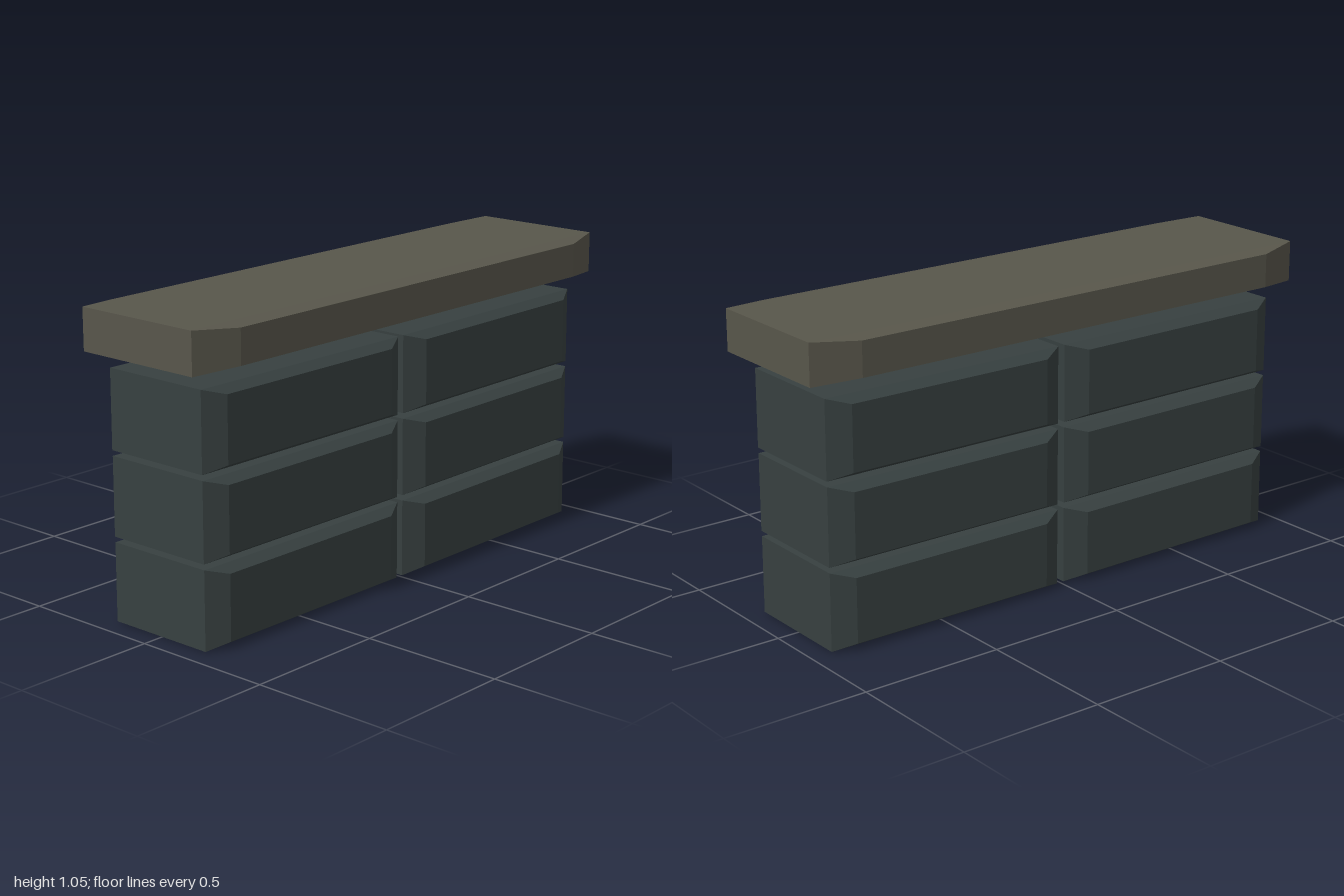
import * as THREE from 'three';

// Box whose front and back faces shrink to leave a bevel of depth b, bx wide, by high
function bevelBlock(w, h, d, bx, by, b) {
  const box = new THREE.BoxGeometry(w, h, d, 1, 1, 3);
  const p = box.attributes.position;
  for (let i = 0; i < p.count; i++) {
    const x = p.getX(i), y = p.getY(i), z = p.getZ(i), s = Math.sign(z);
    if (Math.abs(z) > d * 0.4) p.setXYZ(i, x - Math.sign(x) * bx, y - Math.sign(y) * by, z);
    else p.setZ(i, s * (d / 2 - b));
  }
  const geo = box.toNonIndexed();
  geo.computeVertexNormals();
  return geo;
}

export function createModel() {
  const group = new THREE.Group();
  const slabMaterial = new THREE.MeshStandardMaterial({ color: 0x58564b });
  slabMaterial.name = 'warm grey stone';
  const blockMaterial = new THREE.MeshStandardMaterial({ color: 0x374040 });
  blockMaterial.name = 'dark slate';

  // Floating top slab
  const slab = new THREE.Mesh(bevelBlock(2, 0.142, 0.57, 0.16, 0.012, 0.047), slabMaterial);
  slab.name = 'topSlab';
  slab.position.y = 0.976;
  group.add(slab);

  // Two stacks of three blocks, outer ends tipped up very slightly
  const blockGeometry = bevelBlock(0.914, 0.268, 0.476, 0.075, 0.022, 0.038);
  for (const [side, x, tilt] of [['left', 0.469, 0.004], ['right', -0.472, -0.004]]) {
    for (let row = 0; row < 3; row++) {
      const block = new THREE.Mesh(blockGeometry, blockMaterial);
      block.name = `${side}Block${row + 1}`;
      block.position.set(x, 0.136 + row * 0.287, 0);
      block.rotation.z = tilt;
      group.add(block);
    }
  }
  return group;
}
